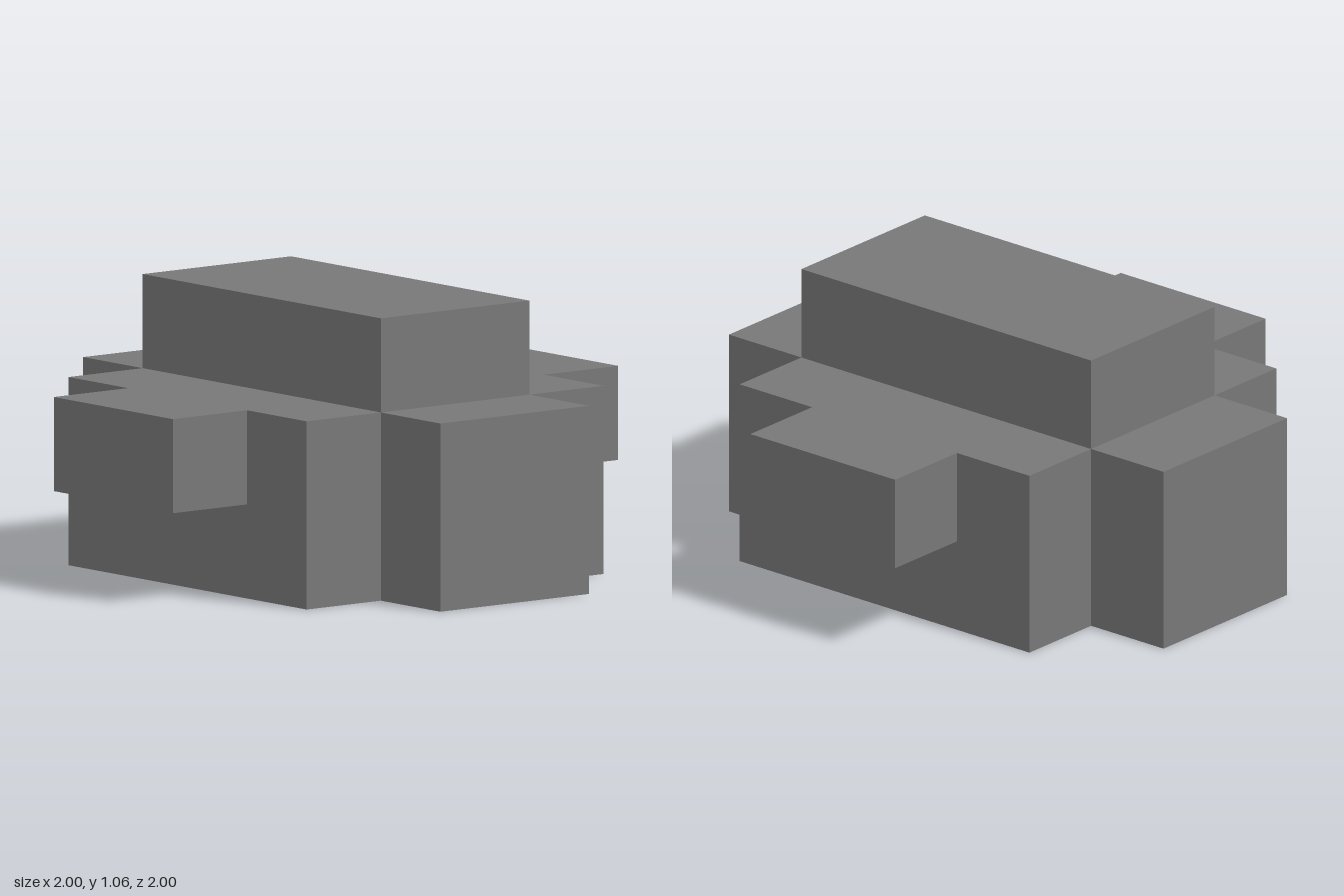
import * as THREE from 'three';

// One grid cell: the model is laid out on a 6 x 3 x 6 grid turned by 45 degrees
const U = Math.SQRT2 / 4;

export function createModel() {
  const model = new THREE.Group();
  model.name = 'blockModel';
  const grey = new THREE.MeshStandardMaterial({ color: 0x777777 });
  grey.name = 'grey';

  // Box given by its size and the centre of its base, in cells
  const block = (name, [w, h, d], [x, y, z]) => {
    const mesh = new THREE.Mesh(new THREE.BoxGeometry(w * U, h * U, d * U), grey);
    mesh.name = name;
    mesh.position.set(x * U, (y + h / 2) * U, z * U);
    model.add(mesh);
  };

  block('body', [4, 2, 4], [0, 0, 0]);
  block('roof', [4, 1, 2], [0, 2, 0]);

  for (const s of [1, -1]) {
    const end = s > 0 ? 'front' : 'back';
    // Full-height blocks on the two ends
    block(end + 'EndBlock', [1, 2, 2], [2.5 * s, 0, 0]);
    // Raised blocks overhanging the two sides
    block(end + 'SideBlock', [2, 1, 1], [0, 1, 2.5 * s]);
  }

  model.rotation.y = -Math.PI / 4;
  const root = new THREE.Group();
  root.add(model);
  return root;
}
